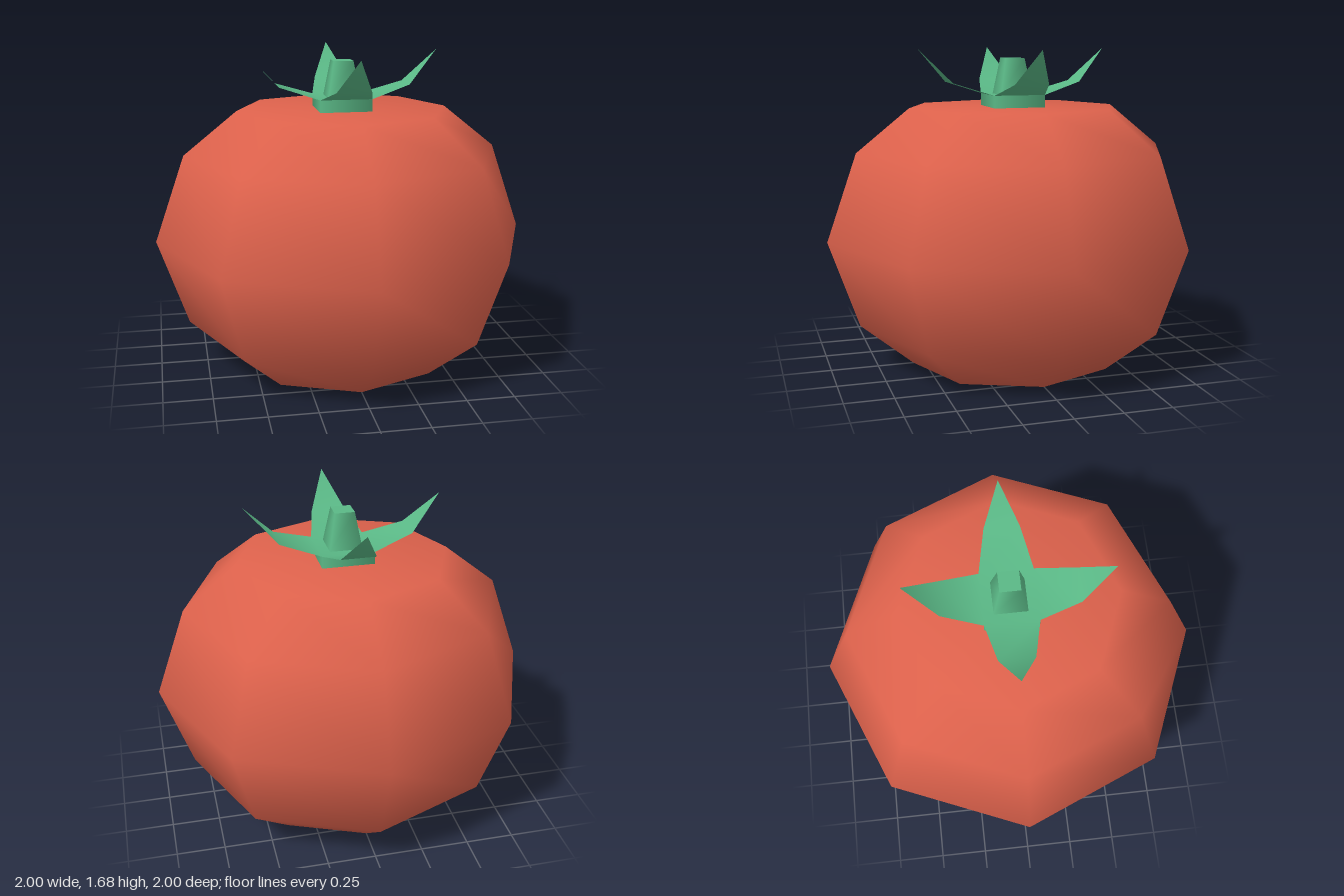
import * as THREE from 'three';
import { mergeGeometries, mergeVertices } from 'three/addons/utils/BufferGeometryUtils.js';

const red = new THREE.MeshStandardMaterial({ color: 0xde624c });
red.name = 'tomatoRed';
const green = new THREE.MeshStandardMaterial({ color: 0x5ab886, side: THREE.DoubleSide });
green.name = 'leafGreen';

const BASE = 1.44; // height of the leaf crown
const HALF = 0.137; // half width of its square centre

function addPart(group, name, geometry, material) {
  const mesh = new THREE.Mesh(geometry, material);
  mesh.name = name;
  group.add(mesh);
}

// Axis-aligned square prism, tapered, with side normals blended around it
function squarePrism(topHalf, bottomHalf, y0, y1, open) {
  const g = new THREE.CylinderGeometry(topHalf * Math.SQRT2, bottomHalf * Math.SQRT2,
    y1 - y0, 4, 1, open, Math.PI / 4);
  return g.translate(0, (y0 + y1) / 2, 0);
}

function flatGeometry(points, index) {
  const g = new THREE.BufferGeometry();
  g.setAttribute('position', new THREE.Float32BufferAttribute(points.flat(), 3));
  g.setIndex(index);
  return g;
}

// One pointed leaf curling up towards +z
function leaf() {
  return flatGeometry([
    [-HALF, BASE, HALF], [HALF, BASE, HALF],
    [-0.09, 1.505, 0.345], [0.09, 1.505, 0.345],
    [0, 1.68, 0.51],
  ], [0, 2, 1, 1, 2, 3, 2, 4, 3]);
}

// Four leaves joined to a square centre as one smooth sheet
function crown() {
  const parts = [flatGeometry([
    [-HALF, BASE, -HALF], [-HALF, BASE, HALF], [HALF, BASE, HALF], [HALF, BASE, -HALF],
  ], [0, 1, 2, 0, 2, 3])];
  for (let i = 0; i < 4; i++) parts.push(leaf().rotateY(i * Math.PI / 2));
  const g = mergeVertices(mergeGeometries(parts), 0.001);
  g.computeVertexNormals();
  return g;
}

export function createModel() {
  const group = new THREE.Group();
  group.name = 'tomato';

  // Eight-sided fruit, smoothly shaded
  const profile = [[0, 0], [0.56, 0], [0.84, 0.23], [1, 0.69], [0.84, 1.15], [0.56, 1.375], [0, 1.375]]
    .map(([x, y]) => new THREE.Vector2(x, y));
  addPart(group, 'fruit', new THREE.LatheGeometry(profile, 8), red);

  // Collar, leaves and stalk
  addPart(group, 'collar', squarePrism(HALF, HALF, 1.37, BASE, true), green);
  addPart(group, 'leafCrown', crown(), green);
  addPart(group, 'stalk', squarePrism(0.052, 0.085, BASE, 1.63, false), green);

  return group;
}
